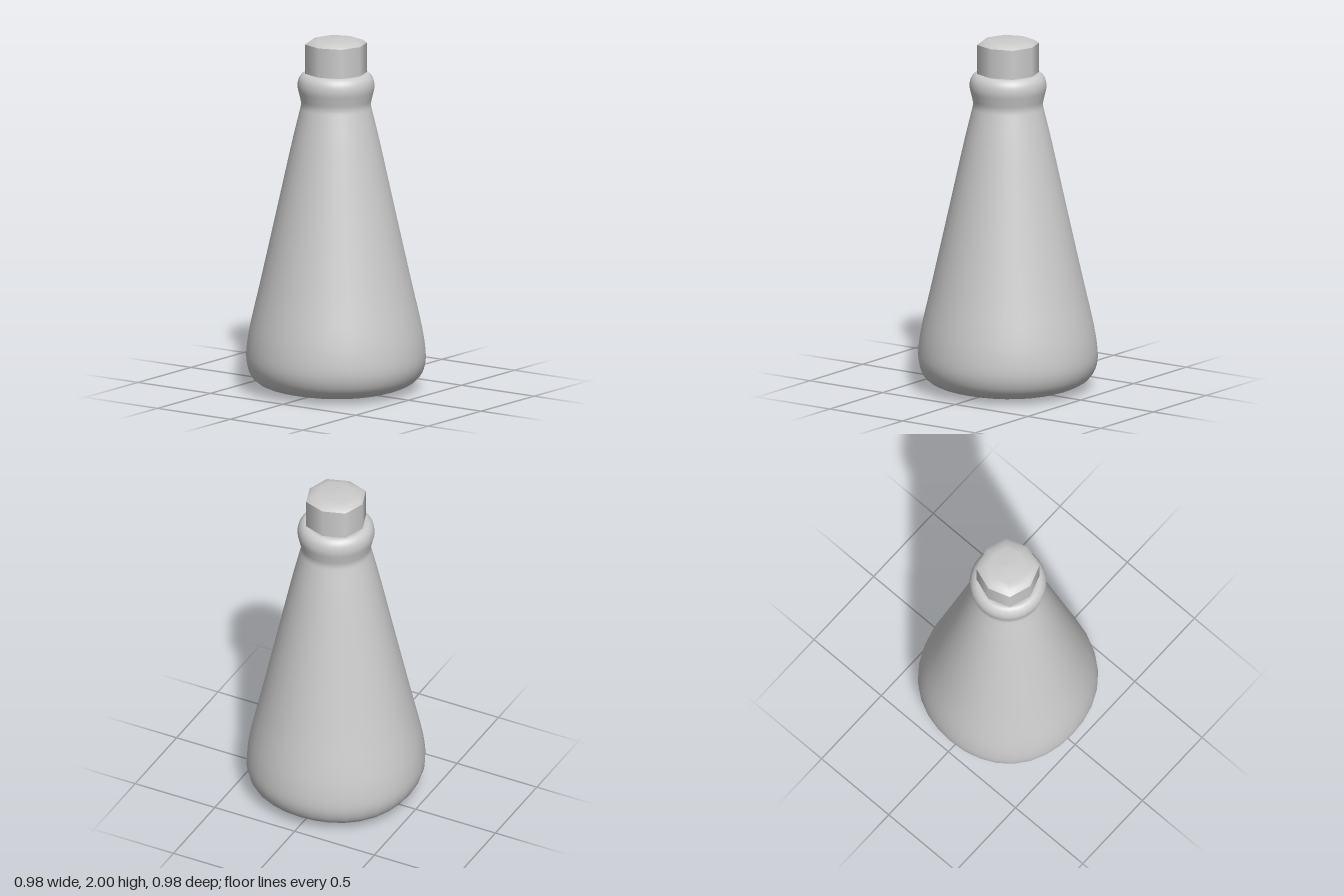
import * as THREE from 'three';

const grey = () => new THREE.MeshStandardMaterial({ color: 0xcccccc });
const vectors = (points) => points.map(([r, y]) => new THREE.Vector2(r, y));

// Turned part whose rings bulge slightly towards the diagonals
function turned(name, profile, sides, bulge) {
  const geometry = new THREE.LatheGeometry(profile, sides);
  const p = geometry.attributes.position;
  for (let i = 0; i < p.count; i++) {
    const x = p.getX(i), z = p.getZ(i);
    const s = 1 + bulge(p.getY(i)) * Math.sin(2 * Math.atan2(x, z)) ** 2;
    p.setX(i, x * s);
    p.setZ(i, z * s);
  }
  const mesh = new THREE.Mesh(geometry, grey());
  mesh.name = name;
  return mesh;
}

export function createModel() {
  const model = new THREE.Group();
  model.name = 'flask';

  // Conical body with a rounded foot, narrow neck and rolled lip
  const side = new THREE.SplineCurve(vectors([
    [0.32, 0.014], [0.385, 0.03], [0.44, 0.062], [0.473, 0.11], [0.489, 0.18],
    [0.483, 0.28], [0.462, 0.4], [0.418, 0.6], [0.332, 1.0], [0.246, 1.4],
    [0.206, 1.57], [0.195, 1.625], [0.203, 1.67], [0.214, 1.72], [0.211, 1.76],
    [0.197, 1.787], [0.175, 1.802], [0.145, 1.8],
  ])).getPoints(68);
  const profile = [...vectors([[0, 0.001], [0.2, 0.004]]), ...side, ...vectors([[0, 1.795]])];
  model.add(turned('body', profile, 32, (y) => 0.03 * (1 - Math.min(y / 1.7, 1))));

  // Eight-sided stopper with a softened top edge
  const stopper = new THREE.Group();
  stopper.name = 'stopper';
  const cap = () => 0.06;
  stopper.add(
    turned('stopperSide', vectors([[0.165, 1.74], [0.165, 1.968]]), 8, cap),
    turned('stopperTop', vectors([[0.165, 1.968], [0.142, 1.985], [0.1, 1.996], [0, 2.0]]), 8, cap),
  );
  model.add(stopper);
  return model;
}
